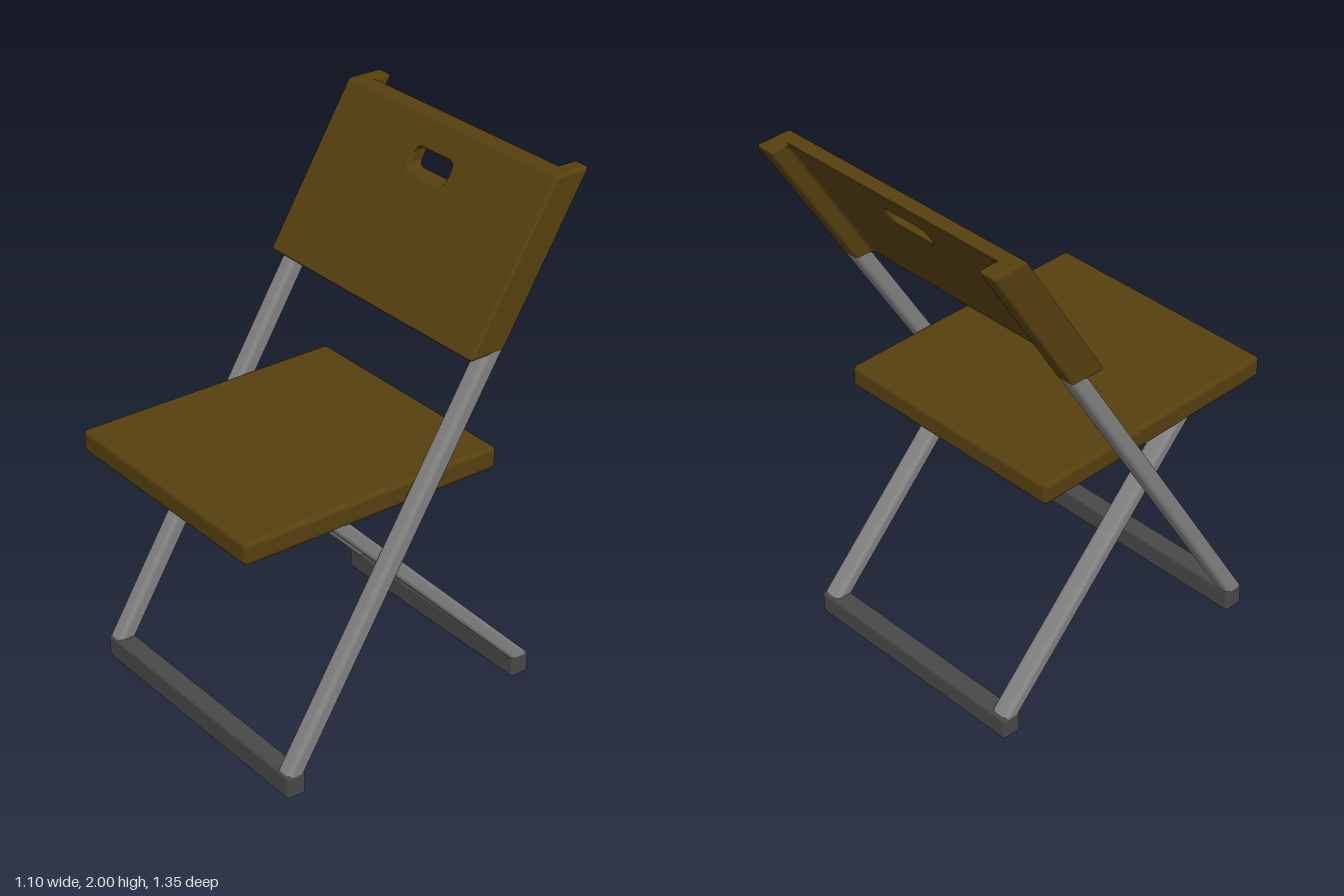
import * as THREE from 'three';
import { RoundedBoxGeometry } from 'three/addons/geometries/RoundedBoxGeometry.js';

const metal = new THREE.MeshStandardMaterial({ color: 0x828282 });
const wood = new THREE.MeshStandardMaterial({ color: 0x56400f });
const rubber = new THREE.MeshStandardMaterial({ color: 0x484848 });

// Lean of the long frame and of the rear legs: change of z per unit of y
const LEAN = -0.61;
const REAR_LEAN = 0.968;

function add(group, name, geometry, material, x = 0, y = 0, z = 0) {
  const mesh = new THREE.Mesh(geometry, material);
  mesh.name = name;
  mesh.position.set(x, y, z);
  group.add(mesh);
}

// Lean a geometry by sliding z along y
function lean(geometry, slope) {
  return geometry.applyMatrix4(new THREE.Matrix4().makeShear(0, 0, 0, slope, 0, 0));
}

// Leaning leg whose rounded lower end stays upright, so that it sits inside a foot bar
function leg(group, name, x, y0, y1, z0, slope, w, d, radius) {
  const h = y1 - y0;
  const bend = radius - h / 2;
  const geometry = new RoundedBoxGeometry(w, h, d, 4, radius);
  const { position, normal } = geometry.attributes;
  const n = new THREE.Vector3();
  for (let i = 0; i < position.count; i++) {
    const rise = position.getY(i) - bend;
    if (rise < -1e-5) continue;
    position.setZ(i, position.getZ(i) + slope * rise);
    n.fromBufferAttribute(normal, i);
    n.y -= slope * n.z;
    n.normalize();
    normal.setXYZ(i, n.x, n.y, n.z);
  }
  add(group, name, geometry, metal, x, y0 + h / 2, z0);
}

function roundedRect(path, w, h, r, cy = 0) {
  const x = w / 2, y = h / 2;
  path.absarc(x - r, cy + y - r, r, 0, Math.PI / 2);
  path.absarc(-x + r, cy + y - r, r, Math.PI / 2, Math.PI);
  path.absarc(-x + r, cy - y + r, r, Math.PI, Math.PI * 1.5);
  path.absarc(x - r, cy - y + r, r, Math.PI * 1.5, Math.PI * 2);
  path.closePath();
  return path;
}

// Backrest: leaning sheet with a grip hole, and a flange down each side
function createBackrest() {
  const backrest = new THREE.Group();
  backrest.name = 'backrest';
  const y0 = 1.43, height = 0.57, mid = y0 + height / 2;
  const frontZ = -0.187 + LEAN * height / 2;
  const thickness = 0.066, bevel = 0.01;

  const shape = roundedRect(new THREE.Shape(), 1.1, height, 0.012);
  shape.holes.push(roundedRect(new THREE.Path(), 0.195, 0.076, 0.025, 1.867 - mid));
  const sheet = new THREE.ExtrudeGeometry(shape, {
    depth: thickness - 2 * bevel, bevelThickness: bevel, bevelSize: bevel,
    bevelOffset: -bevel, bevelSegments: 3, curveSegments: 6,
  });
  sheet.translate(0, 0, bevel - thickness);
  add(backrest, 'backrestPanel', lean(sheet, LEAN), wood, 0, mid, frontZ);

  for (const [side, s] of [['left', 1], ['right', -1]]) {
    const flange = new RoundedBoxGeometry(0.071, height, 0.142, 4, 0.014);
    add(backrest, side + 'BackrestFlange', lean(flange, LEAN), wood, s * 0.5145, mid, frontZ - 0.071);

    // Fillet in the corner between flange and sheet
    const corner = new THREE.Shape();
    corner.moveTo(0, 0);
    corner.lineTo(-s * 0.022, 0);
    corner.quadraticCurveTo(0, 0, 0, 0.022);
    const fillet = new THREE.ExtrudeGeometry(corner, { depth: height - 0.02, bevelEnabled: false, curveSegments: 6 });
    fillet.rotateX(-Math.PI / 2).translate(0, 0.01 - height / 2, 0);
    add(backrest, side + 'BackrestFillet', lean(fillet, LEAN), wood, s * 0.479, mid, frontZ - thickness);
  }
  return backrest;
}

export function createModel() {
  const chair = new THREE.Group();
  chair.name = 'foldingChair';

  // Seat board
  add(chair, 'seat', new RoundedBoxGeometry(0.955, 0.085, 1.055, 4, 0.018), wood, 0, 0.978, 0.147);
  chair.add(createBackrest());

  // Long frame legs up into the backrest, and rear legs up into the seat
  for (const [side, s] of [['left', 1], ['right', -1]]) {
    leg(chair, side + 'FrameLeg', s * 0.5145, 0.065, 1.455, 0.528, LEAN, 0.069, 0.074, 0.02);
    leg(chair, side + 'RearLeg', s * 0.4385, 0.075, 0.96, -0.534, REAR_LEAN, 0.075, 0.076, 0.02);
  }

  // Cross bars on the floor
  add(chair, 'frontFootBar', new RoundedBoxGeometry(1.1, 0.095, 0.078, 4, 0.014), rubber, 0, 0.0475, 0.527);
  add(chair, 'rearFootBar', new RoundedBoxGeometry(0.955, 0.09, 0.078, 4, 0.014), rubber, 0, 0.061, -0.534);

  return chair;
}
